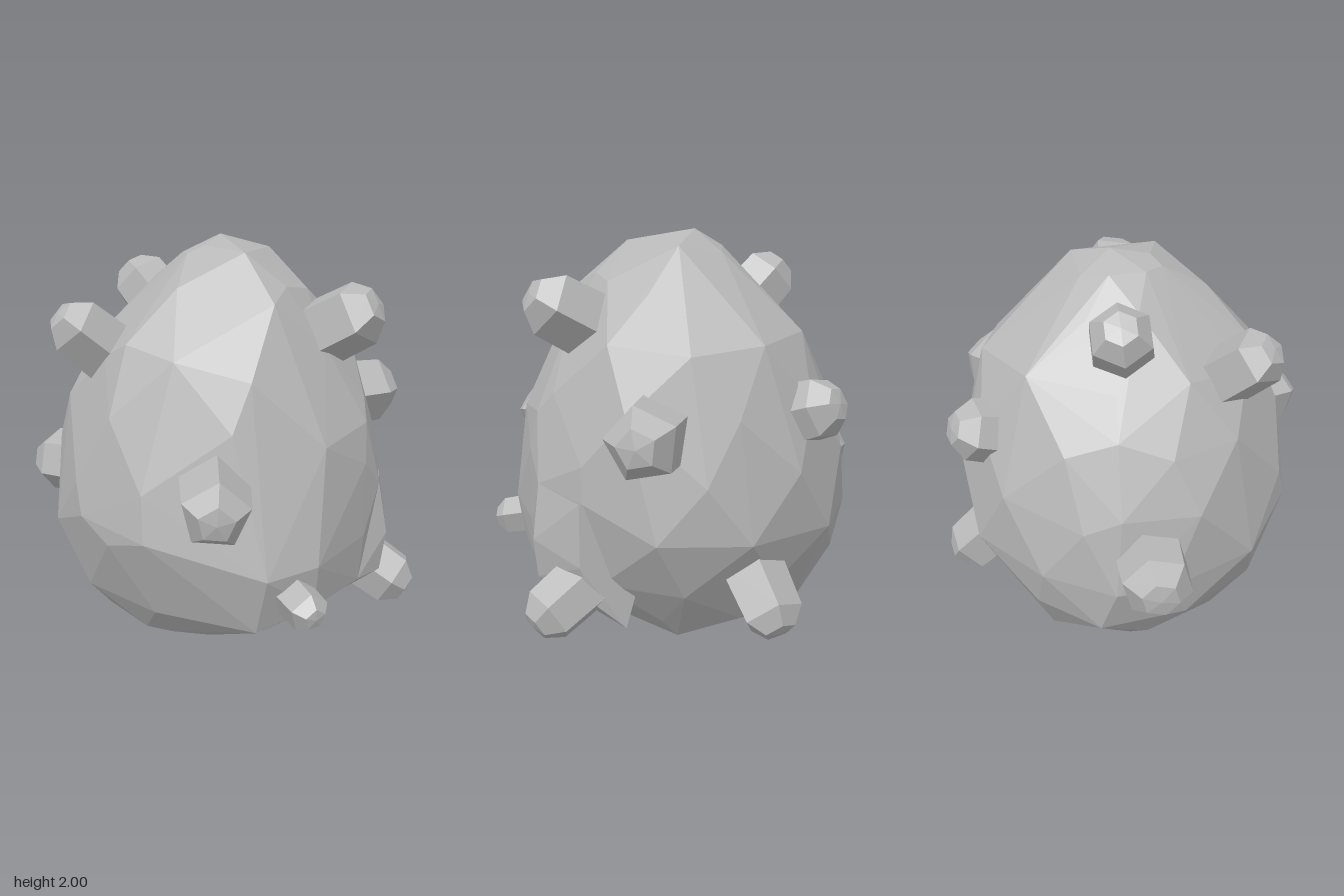
import * as THREE from 'three';
import { ConvexGeometry } from 'three/addons/geometries/ConvexGeometry.js';

const stone = new THREE.MeshStandardMaterial({ color: 0xb8b8b8, flatShading: true });
stone.name = 'grey stone';

const V = (p) => new THREE.Vector3(...p);

// Boulder levels: height, x min, x max, z min, z max
const LEVELS = [
  [0.11, -0.60, 0.54, -0.54, 0.60],
  [0.32, -0.74, 0.69, -0.73, 0.82],
  [0.60, -0.85, 0.84, -0.78, 0.87],
  [0.92, -0.86, 0.83, -0.76, 0.88],
  [1.22, -0.80, 0.79, -0.66, 0.82],
  [1.50, -0.69, 0.71, -0.49, 0.68],
  [1.75, -0.42, 0.45, -0.27, 0.51],
  [1.90, -0.22, 0.27, -0.12, 0.34],
];

// Corners that stand out from the regular levels
const CROWN = [[0.05, 2.0, 0.03], [-0.14, 1.96, 0.08], [-0.15, 1.94, 0.32], [-0.24, 1.73, 0.55], [-0.66, 1.55, 0.02]];
const UNDERSIDE = [[0.40, 0.0, 0.25], [0.1, 0.03, 0.3], [0.32, 0.04, -0.42], [-0.1, 0.05, -0.48], [-0.57, 0.11, 0.2]];
const FRONT = [
  [-0.25, 1.11, 0.85], [0.11, 1.15, 0.86], [0.22, 0.82, 0.89], [0.48, 0.78, 0.74],
  [-0.37, 0.58, 0.90], [0.06, 0.59, 0.90], [-0.34, 0.36, 0.87], [0.06, 0.35, 0.88],
  [-0.61, 0.56, 0.78], [-0.56, 0.26, 0.69], [-0.49, 1.42, 0.60],
];
const FLANKS = [[-0.87, 0.75, -0.1], [-0.87, 0.70, 0.28], [-0.06, 0.56, -0.80], [0.1, 0.88, -0.76], [-0.05, 1.3, -0.62]];

// Crystals: foot, tip, radius, number of sides, twist
const CRYSTALS = [
  ['frontTopCrystal', [0.07, 1.46, 0.42], [0.13, 1.72, 0.88], 0.185, 5, 0.3],
  ['rightFrontCrystal', [-0.56, 0.96, 0.44], [-0.92, 0.92, 0.73], 0.175, 5, 0.9],
  ['smallFrontCrystal', [-0.40, 0.46, 0.72], [-0.53, 0.41, 0.99], 0.11, 5, 0.2],
  ['lowFrontCrystal', [0.31, 0.43, 0.56], [0.43, 0.18, 0.98], 0.165, 6, 0.5],
  ['leftLowCrystal', [0.62, 0.46, -0.03], [0.91, 0.19, -0.08], 0.165, 5, 0.1],
  ['leftFrontCrystal', [0.50, 1.12, 0.36], [0.89, 1.13, 0.60], 0.195, 5, 0.6],
  ['leftBackCrystal', [0.52, 1.12, -0.25], [0.78, 1.23, -0.42], 0.17, 6, 0.4],
  ['backTopCrystal', [-0.03, 1.52, -0.18], [-0.05, 1.82, -0.49], 0.175, 6, 0.2],
  ['rightBackCrystal', [-0.45, 1.39, -0.17], [-0.74, 1.67, -0.33], 0.165, 5, 0.7],
  ['backCrystal', [-0.17, 0.72, -0.50], [-0.28, 0.71, -0.995], 0.19, 6, 0.5],
];

function boulderGeometry() {
  let seed = 11;
  const rand = () => (seed = (seed * 16807) % 2147483647) / 2147483647;
  const points = [...CROWN, ...UNDERSIDE, ...FRONT, ...FLANKS].map(V);
  LEVELS.forEach(([y, x0, x1, z0, z1], level) => {
    const count = 10;
    for (let i = 0; i < count; i++) {
      const a = ((i + (level % 2) / 2 + (rand() - 0.5) * 0.35) / count) * Math.PI * 2;
      const k = 0.99 + rand() * 0.03;
      points.push(new THREE.Vector3(
        (x0 + x1) / 2 + (Math.cos(a) * k * (x1 - x0)) / 2,
        y + (level > 0 ? (rand() - 0.5) * 0.08 : 0),
        (z0 + z1) / 2 + (Math.sin(a) * k * (z1 - z0)) / 2));
    }
  });
  return new ConvexGeometry(points);
}

// Angular lump with a steep side at the foot of the front
function lumpGeometry() {
  return new ConvexGeometry([
    [0.22, 0.82, 0.89], [0.485, 0.78, 0.755], [0.25, 0.55, 0.93], [0.49, 0.47, 0.76],
    [0.23, 0.35, 0.91], [0.06, 0.35, 0.88], [0.48, 0.28, 0.70], [0.08, 0.15, 0.66],
    [0.49, 0.13, 0.54], [0.48, 0.6, 0.4], [0.1, 0.6, 0.5],
  ].map(V));
}

// Tapered prism with a bevelled, blunt tip, aimed from foot to tip
function crystal([name, foot, tip, r, sides, twist]) {
  const from = V(foot), axis = V(tip).sub(from), len = axis.length();
  const profile = [[r, 0], [r * 0.9, len - r * 0.55], [r * 0.48, len - r * 0.07], [0, len]]
    .map(([x, y]) => new THREE.Vector2(x, y));
  const mesh = new THREE.Mesh(new THREE.LatheGeometry(profile, sides, twist), stone);
  mesh.name = name;
  mesh.position.copy(from);
  mesh.quaternion.setFromUnitVectors(new THREE.Vector3(0, 1, 0), axis.normalize());
  return mesh;
}

export function createModel() {
  const group = new THREE.Group();
  group.name = 'crystalBoulder';
  const boulder = new THREE.Mesh(boulderGeometry(), stone);
  boulder.name = 'boulder';
  const lump = new THREE.Mesh(lumpGeometry(), stone);
  lump.name = 'frontLump';
  group.add(boulder, lump, ...CRYSTALS.map(crystal));
  return group;
}
